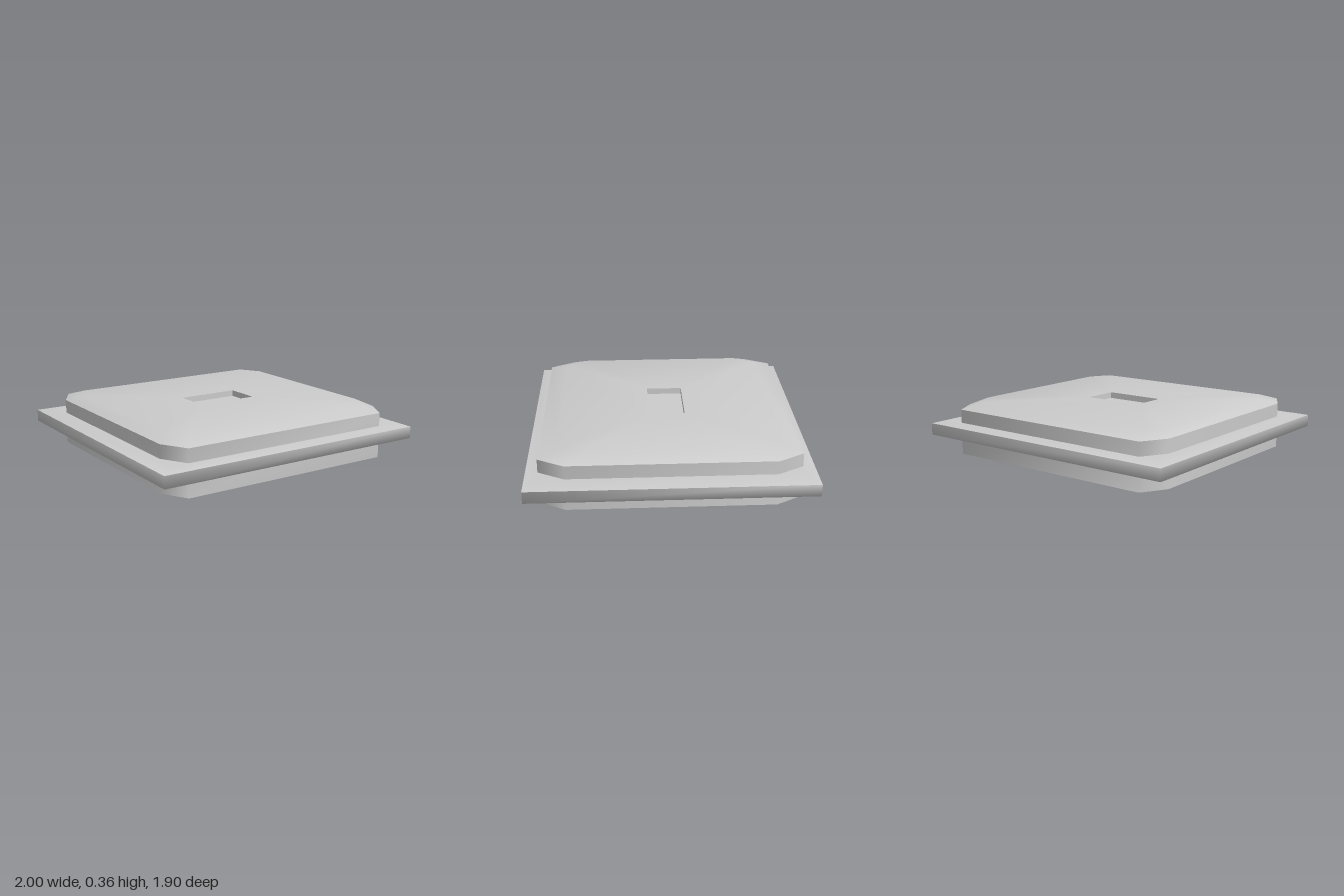
import * as THREE from 'three';
import { toCreasedNormals } from 'three/addons/utils/BufferGeometryUtils.js';

// Rectangle ring of half sizes hx, hz at height y, with corners cut by cx, cz
// (no cut gives a square corner). Runs counter-clockwise seen from above.
function ring(y, hx, hz, cx = 0, cz = 0) {
  return [
    [hx, hz - cz], [hx, cz - hz], [hx - cx, -hz], [cx - hx, -hz],
    [-hx, cz - hz], [-hx, hz - cz], [cx - hx, hz], [hx - cx, hz],
  ].map(([x, z]) => new THREE.Vector3(x, y, z));
}

// The chamfered outline shared by the body and the lid
const outline = (y) => ring(y, 0.88, 0.865, 0.1, 0.175);
const centre = (y) => ring(y, 0, 0);

// Skin between successive rings, leaving out collapsed triangles
function loft(rings, crease) {
  const points = [];
  const tri = (...t) => {
    if (new THREE.Triangle(...t).getArea() > 1e-7) points.push(...t);
  };
  for (let r = 0; r < rings.length - 1; r++) {
    const lower = rings[r], upper = rings[r + 1];
    for (let i = 0; i < 8; i++) {
      const j = (i + 1) % 8;
      tri(lower[i], lower[j], upper[j]);
      tri(lower[i], upper[j], upper[i]);
    }
  }
  return toCreasedNormals(new THREE.BufferGeometry().setFromPoints(points), crease);
}

export function createModel() {
  const group = new THREE.Group();
  group.name = 'cover';
  // Every part is an open skin, so both sides show
  const material = new THREE.MeshStandardMaterial({ color: 0xcccccc, side: THREE.DoubleSide });
  const add = (name, crease, rings) => {
    const mesh = new THREE.Mesh(loft(rings, crease), material);
    mesh.name = name;
    group.add(mesh);
  };

  // Thin skirt open at the bottom, closed on top
  add('body', 1.2, [outline(0), outline(0.32), centre(0.32)]);

  // Bevelled lid with a rectangular opening down to the body
  add('lid', 0.65, [
    outline(0.32),
    ring(0.363, 0.8, 0.73, 0.09, 0.15),
    ring(0.363, 0.22, 0.125),
    ring(0.32, 0.22, 0.125),
  ]);

  // Square-cornered plate through the body; its underside closes the skirt
  add('flange', 1.6, [centre(0.125), ring(0.125, 1, 0.95), ring(0.208, 1, 0.95)]);

  // Gently sloped upper face of the plate
  add('flangeTop', 0.65, [
    ring(0.208, 1, 0.95),
    ring(0.226, 0.92, 0.875),
    ring(0.226, 0.85, 0.83, 0.1, 0.175),
  ]);

  return group;
}
